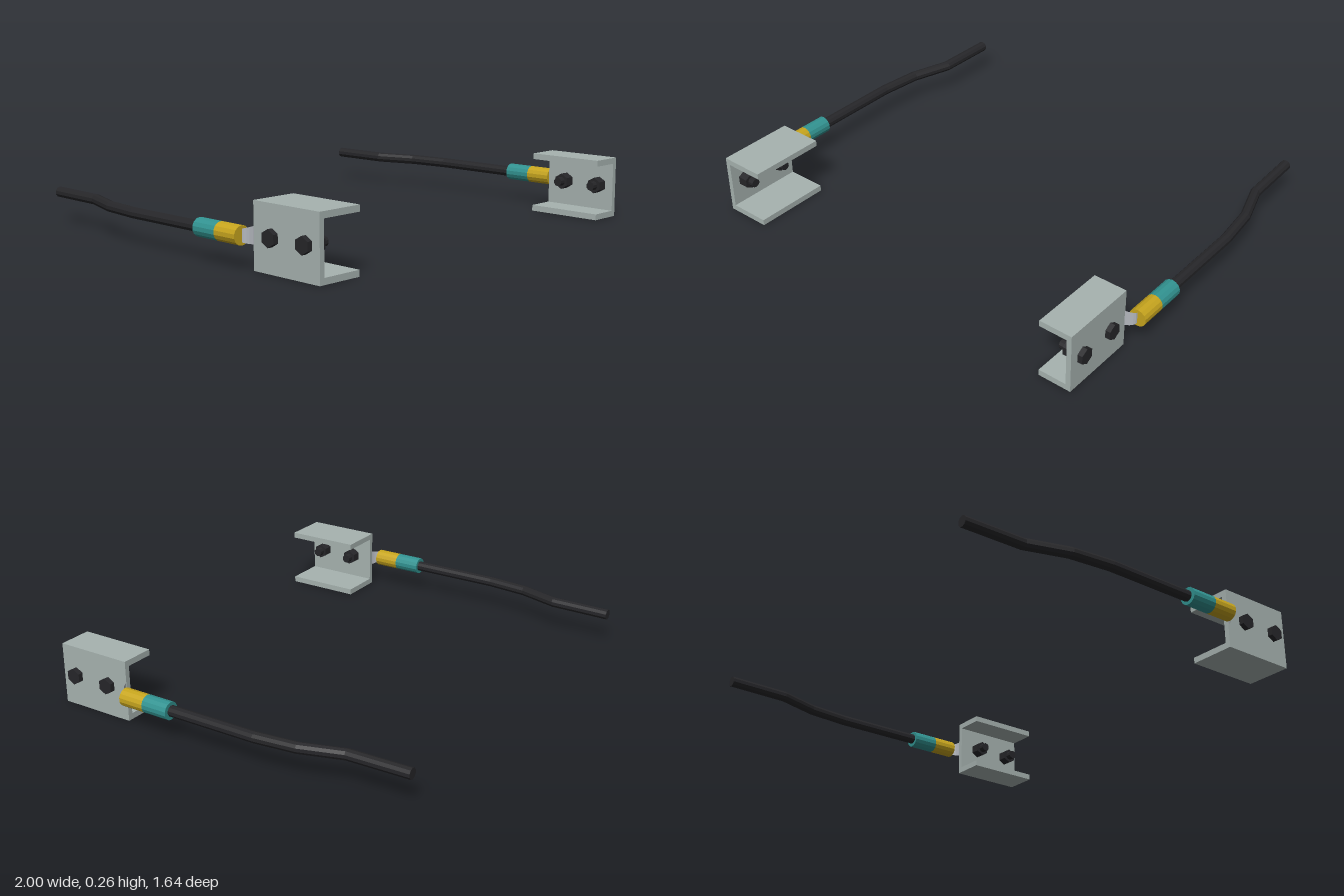
import * as THREE from 'three';

const Y = 0.133; // height of the cable axis

function material(name, color) {
  const m = new THREE.MeshStandardMaterial({ color, flatShading: true, side: THREE.DoubleSide });
  m.name = name;
  return m;
}

function add(parent, name, geometry, mat) {
  const mesh = new THREE.Mesh(geometry, mat);
  mesh.name = name;
  parent.add(mesh);
  return mesh;
}

// Cylinder along z between two depths
function rodZ(radius, z0, z1, sides, rows = 1) {
  return new THREE.CylinderGeometry(radius, radius, z1 - z0, sides, rows)
    .rotateX(Math.PI / 2).translate(0, 0, (z0 + z1) / 2);
}

// Cylinder along x between two positions, with a corner pointing up
function rodX(radius, x0, x1, sides) {
  return new THREE.CylinderGeometry(radius, radius, Math.abs(x1 - x0), sides)
    .rotateY(Math.PI / 2).rotateZ(Math.PI / 2).translate((x0 + x1) / 2, 0, 0);
}

// Channel section: back web with an upper and a lower flange facing inwards
function channel(s, outer, inner) {
  const web = 0.022, flange = 0.026, h = 0.263;
  const points = [
    [outer, 0], [inner, 0], [inner, flange], [outer - web, flange],
    [outer - web, h - flange], [inner, h - flange], [inner, h], [outer, h],
  ].map(([x, y]) => new THREE.Vector2(s * x, y));
  return new THREE.ExtrudeGeometry(new THREE.Shape(points), { depth: 0.34, bevelEnabled: false })
    .translate(0, 0, 0.482);
}

// Bent cable: each ring of a straight rod is moved onto the path
function cable(s) {
  const path = [[0.96, 0.23], [0.96, -0.185], [0.94, -0.37], [0.883, -0.55], [0.877, -0.823]];
  const geo = rodZ(0.0235, 0, path.length - 1, 10, path.length - 1);
  const p = geo.attributes.position;
  for (let i = 0; i < p.count; i++) {
    const [x, z] = path[path.length - 1 - Math.round(p.getZ(i))];
    p.setXYZ(i, p.getX(i) + s * x, p.getY(i) + Y, z);
  }
  geo.computeVertexNormals();
  return geo;
}

// Thin lug that curves from the sleeve to the web and widens on the way
function lug(s) {
  const geo = new THREE.PlaneGeometry(1, 1, 6, 1);
  const p = geo.attributes.position;
  for (let i = 0; i < p.count; i++) {
    const t = p.getX(i) + 0.5;
    const x = 0.962 - 0.056 * t * t * (1.6 - 0.6 * t);
    const z = 0.453 + 0.034 * Math.sin(t * Math.PI / 2);
    p.setXYZ(i, s * x, Y + p.getY(i) * (0.05 + 0.026 * t), z);
  }
  geo.computeVertexNormals();
  return geo;
}

export function createModel() {
  const model = new THREE.Group();
  model.name = 'cableBracketPair';
  const steel = material('bracket grey', 0xa7b3b0);
  const lugGrey = material('lug grey', 0xb3b7bd);
  const black = material('black', 0x262629);
  const yellow = material('yellow', 0xc7a51e);
  const teal = material('teal', 0x329391);

  for (const s of [1, -1]) {
    const side = new THREE.Group();
    side.name = s > 0 ? 'leftAssembly' : 'rightAssembly';
    model.add(side);
    const outer = s > 0 ? 0.924 : 0.929;
    add(side, 'channelBracket', channel(s, outer, s > 0 ? 0.777 : 0.728), steel);

    // Bolts: head outside the web, nut and shank end inside
    for (const z of [0.58, 0.753]) {
      const bolt = new THREE.Group();
      bolt.name = 'bolt';
      bolt.position.set(0, Y + 0.004, z);
      add(bolt, 'boltHead', rodX(0.035, s * (outer + 0.022), s * outer, 6), black);
      add(bolt, 'boltNut', rodX(0.035, s * (outer - 0.02), s * (outer - 0.067), 6), black);
      add(bolt, 'boltShank', rodX(0.02, s * outer, s * (outer - 0.094), 10), black);
      side.add(bolt);
    }

    // Cable with its two-colour sleeve and lug
    add(side, 'frontSleeve', rodZ(0.038, 0.34, 0.455, 14).translate(s * 0.962, Y, 0), yellow);
    add(side, 'rearSleeve', rodZ(0.038, 0.22, 0.34, 14).translate(s * 0.962, Y, 0), teal);
    add(side, 'cable', cable(s), black);
    add(side, 'lug', lug(s), lugGrey);
  }
  return model;
}
